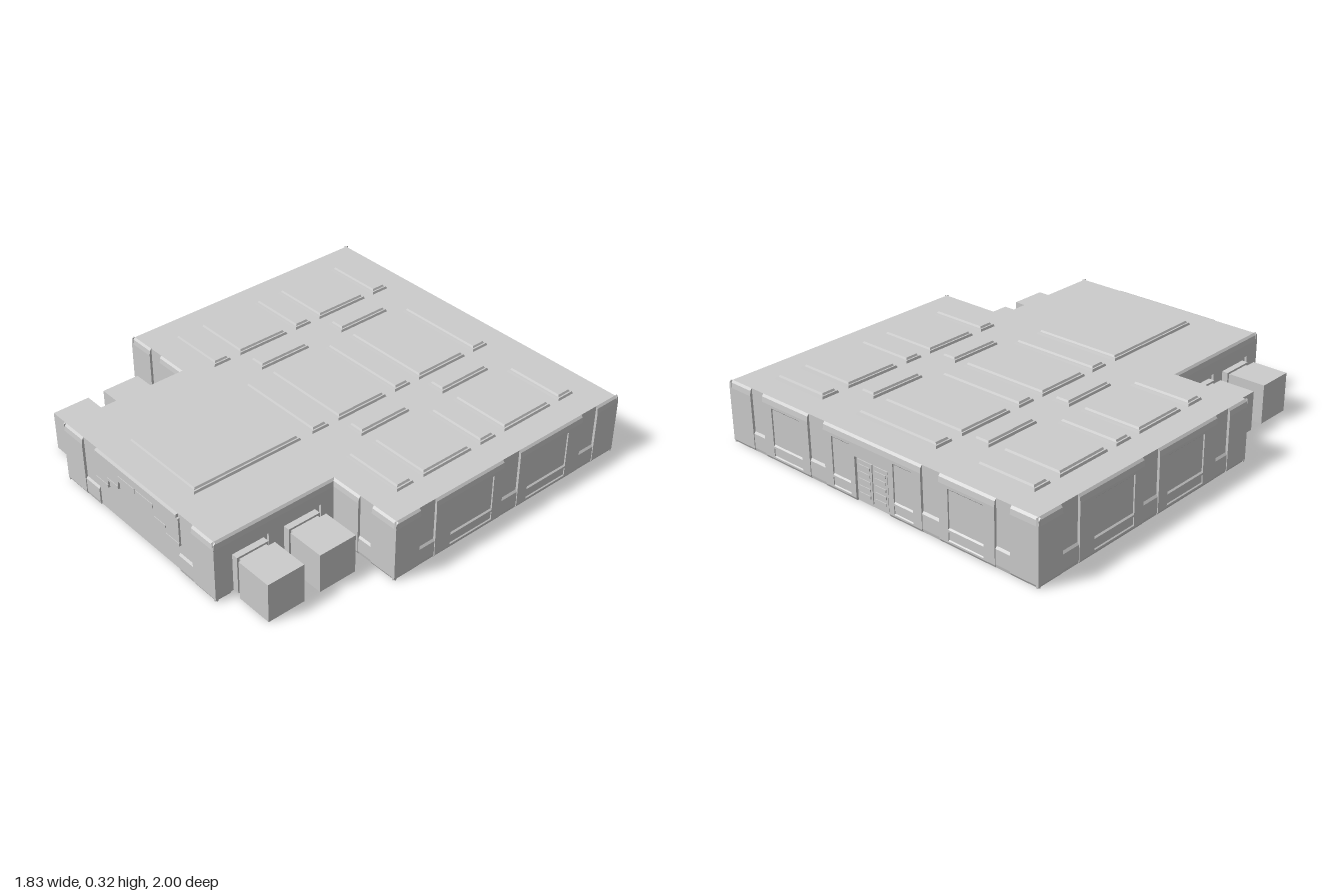
import * as THREE from 'three';

const mat = new THREE.MeshStandardMaterial({ color: 0xcccccc, flatShading: true });
const D = 0.012; // relief depth of the wall cladding
const ROOF = 0.305;

// Wall cross-sections as [outward offset, height]
const PROFILES = {
  pillar: [[0, 0], [0.006, 0], [D, 0.012], [D, 0.27], [0.009, 0.295], [0, ROOF]],
  panel: [[0, 0], [0.006, 0], [D, 0.012], [D, 0.02], [0.007, 0.024], [0.007, 0.058], [D, 0.062], [D, 0.072],
    [0.005, 0.078], [0.005, 0.25], [D, 0.257], [D, 0.27], [0.009, 0.295], [0, ROOF]],
  plinth: [[0, 0], [0.005, 0], [0.008, 0.015], [0.008, 0.085], [0, 0.095]],
  cornice: [[0, 0.21], [D, 0.21], [D, 0.27], [0.009, 0.295], [0, ROOF]],
};

function add(parent, name, geometry) {
  const mesh = new THREE.Mesh(geometry, mat);
  mesh.name = name;
  parent.add(mesh);
  return mesh;
}

function box(parent, name, x0, x1, y0, y1, z0, z1) {
  const m = add(parent, name, new THREE.BoxGeometry(Math.abs(x1 - x0), y1 - y0, Math.abs(z1 - z0)));
  m.position.set((x0 + x1) / 2, (y0 + y1) / 2, (z0 + z1) / 2);
  return m;
}

function polygon(points) {
  return new THREE.Shape(points.map(([x, y]) => new THREE.Vector2(x, y)));
}

// Group whose local x runs along a wall and local z points outward
function wallFrame(parent, name, x, z, angle) {
  const g = new THREE.Group();
  g.name = name;
  g.position.set(x, 0, z);
  g.rotation.y = angle;
  parent.add(g);
  return g;
}

// Sweep a cross-section along the wall from a to b
function wallRun(wall, type, a, b) {
  const lo = Math.min(a, b), hi = Math.max(a, b);
  const geo = new THREE.ExtrudeGeometry(polygon(PROFILES[type]), { depth: hi - lo, bevelEnabled: false });
  geo.rotateY(-Math.PI / 2).translate(hi, 0, 0);
  add(wall, type, geo);
}

// Raised roof panel: a sloped curb with a smaller plate on top
function roofPanel(parent, x0, x1, z0, z1) {
  const cx = (x0 + x1) / 2, cz = (z0 + z1) / 2, w = x1 - x0, d = z1 - z0;
  [[0, 0.3, 0.316], [0.012, 0.314, 0.325]].forEach(([inset, y0, y1], i) => {
    const geo = new THREE.BoxGeometry(w - 2 * inset, y1 - y0, d - 2 * inset);
    const p = geo.attributes.position;
    for (let k = 0; k < p.count; k++) {
      if (p.getY(k) > 0) {
        p.setX(k, p.getX(k) - Math.sign(p.getX(k)) * 0.006);
        p.setZ(k, p.getZ(k) - Math.sign(p.getZ(k)) * 0.006);
      }
    }
    add(parent, i ? 'roofPlate' : 'roofCurb', geo).position.set(cx, (y0 + y1) / 2, cz);
  });
}

export function createModel() {
  const model = new THREE.Group();
  model.name = 'building';
  const W = 0.915, N = 0.537, S = 0.37; // hall half width, wing half width, shoulder z

  // T-shaped core
  const w = W - D, n = N - D, f = 1 - D, s = S - D;
  const plan = polygon([[-w, f], [-w, -s], [-n, -s], [-n, -f], [n, -f], [n, -s], [w, -s], [w, f]]);
  const core = new THREE.ExtrudeGeometry(plan, { depth: ROOF, bevelEnabled: false });
  core.rotateX(-Math.PI / 2);
  add(model, 'core', core);

  // Long side walls, given front to back in z
  const sideRuns = [
    ['pillar', S, 0.23], ['plinth', 0.23, 0.14], ['pillar', 0.14, 0.05], ['panel', 0.05, -0.2],
    ['pillar', -0.2, -0.26], ['plinth', -0.26, -0.36], ['pillar', -0.36, -0.42], ['panel', -0.42, -0.67],
    ['pillar', -0.67, -0.76], ['plinth', -0.76, -0.86], ['pillar', -0.86, -1],
  ];
  // Wing side walls, with openings for the docked units
  const wingRuns = [
    ['pillar', 1, 0.92], ['cornice', 0.92, 0.72], ['pillar', 0.72, 0.65],
    ['cornice', 0.65, 0.44], ['pillar', 0.44, S - D],
  ];
  for (const side of [1, -1]) {
    const angle = side * Math.PI / 2;
    const hall = wallFrame(model, side > 0 ? 'leftHallWall' : 'rightHallWall', side * w, 0, angle);
    sideRuns.forEach(([t, a, b]) => wallRun(hall, t, -side * a, -side * b));
    const wing = wallFrame(model, side > 0 ? 'leftWingWall' : 'rightWingWall', side * n, 0, angle);
    wingRuns.forEach(([t, a, b]) => wallRun(wing, t, -side * a, -side * b));

    // Docked units with a stepped collar to the wing
    for (const [z0, z1] of [[0.45, 0.642], [0.725, 0.912]]) {
      box(model, 'dockUnit', side * 0.582, side * 0.765, 0, 0.195, z0, z1);
      box(model, 'dockCollar', side * 0.55, side * 0.584, 0.002, 0.18, z0 + 0.024, z1 - 0.024);
      box(model, 'dockFrame', side * 0.52, side * 0.556, 0.002, 0.19, z0 + 0.012, z1 - 0.012);
    }
  }

  // Front, shoulder and back walls, mirrored in x
  const front = wallFrame(model, 'frontWall', 0, f, 0);
  const shoulder = wallFrame(model, 'shoulderWall', 0, s, 0);
  const back = wallFrame(model, 'backWall', 0, -f, Math.PI);
  for (const m of [1, -1]) {
    [['pillar', 0.39, N], ['plinth', 0.29, 0.39]].forEach(([t, a, b]) => wallRun(front, t, m * a, m * b));
    [['pillar', N - D, 0.69], ['plinth', 0.69, 0.77], ['pillar', 0.77, W]]
      .forEach(([t, a, b]) => wallRun(shoulder, t, m * a, m * b));
    [['pillar', 0.1, 0.13], ['panel', 0.13, 0.24], ['pillar', 0.24, 0.29], ['plinth', 0.29, 0.39],
      ['pillar', 0.39, 0.44], ['panel', 0.44, 0.63], ['pillar', 0.63, 0.69], ['plinth', 0.69, 0.77],
      ['pillar', 0.77, W]].forEach(([t, a, b]) => wallRun(back, t, m * a, m * b));
  }

  // Stepped lintel over the front gate
  const steps = [[0.3, 0.14], [0.21, 0.14], [0.21, 0.18], [0.13, 0.18], [0.13, 0.22]];
  const mirrored = steps.map(([x, y]) => [-x, y]).reverse();
  const lintel = polygon([[0.3, 0.285], [-0.3, 0.285], ...mirrored.reverse(), ...steps.slice().reverse()]);
  add(front, 'gateLintel', new THREE.ExtrudeGeometry(lintel, { depth: 0.009, bevelEnabled: false }));
  wallRun(front, 'cornice', -0.29, 0.29);
  front.children[front.children.length - 1].scale.set(1, 0.2, 1);
  front.children[front.children.length - 1].position.y = ROOF * 0.8;
  for (const m of [1, -1]) {
    box(front, 'lintelTrim', m * 0.21, m * 0.3, 0.142, 0.156, 0, D);
    box(front, 'lintelTrim', m * 0.13, m * 0.21, 0.182, 0.196, 0, D);
    box(front, 'lintelTrim', m * 0.005, m * 0.125, 0.232, 0.255, 0, D);
  }

  // Back door with slats
  wallRun(back, 'cornice', -0.1, 0.1);
  for (const m of [1, -1]) {
    box(back, 'backDoorLeaf', m * 0.004, m * 0.09, 0.015, 0.2, 0, 0.005);
    for (let i = 0; i < 5; i++) {
      const y = 0.035 + i * 0.033;
      box(back, 'backDoorSlat', m * 0.015, m * 0.08, y, y + 0.014, 0, 0.009);
    }
  }

  // Roof panels: wide columns on every row, narrow columns on the deep rows only
  const rows = [[0.13, 0.23], [-0.21, 0.08], [-0.36, -0.26], [-0.71, -0.41], [-0.86, -0.76]];
  const wide = [[-0.77, -0.45], [-0.24, 0.24], [0.45, 0.77]];
  const narrow = [[-0.39, -0.29], [0.29, 0.39]];
  rows.forEach(([z0, z1], i) => {
    const columns = i % 2 ? [...wide, ...narrow] : wide;
    columns.forEach(([x0, x1]) => roofPanel(model, x0, x1, z0, z1));
  });
  roofPanel(model, -0.24, 0.24, 0.29, 0.87);

  return model;
}
